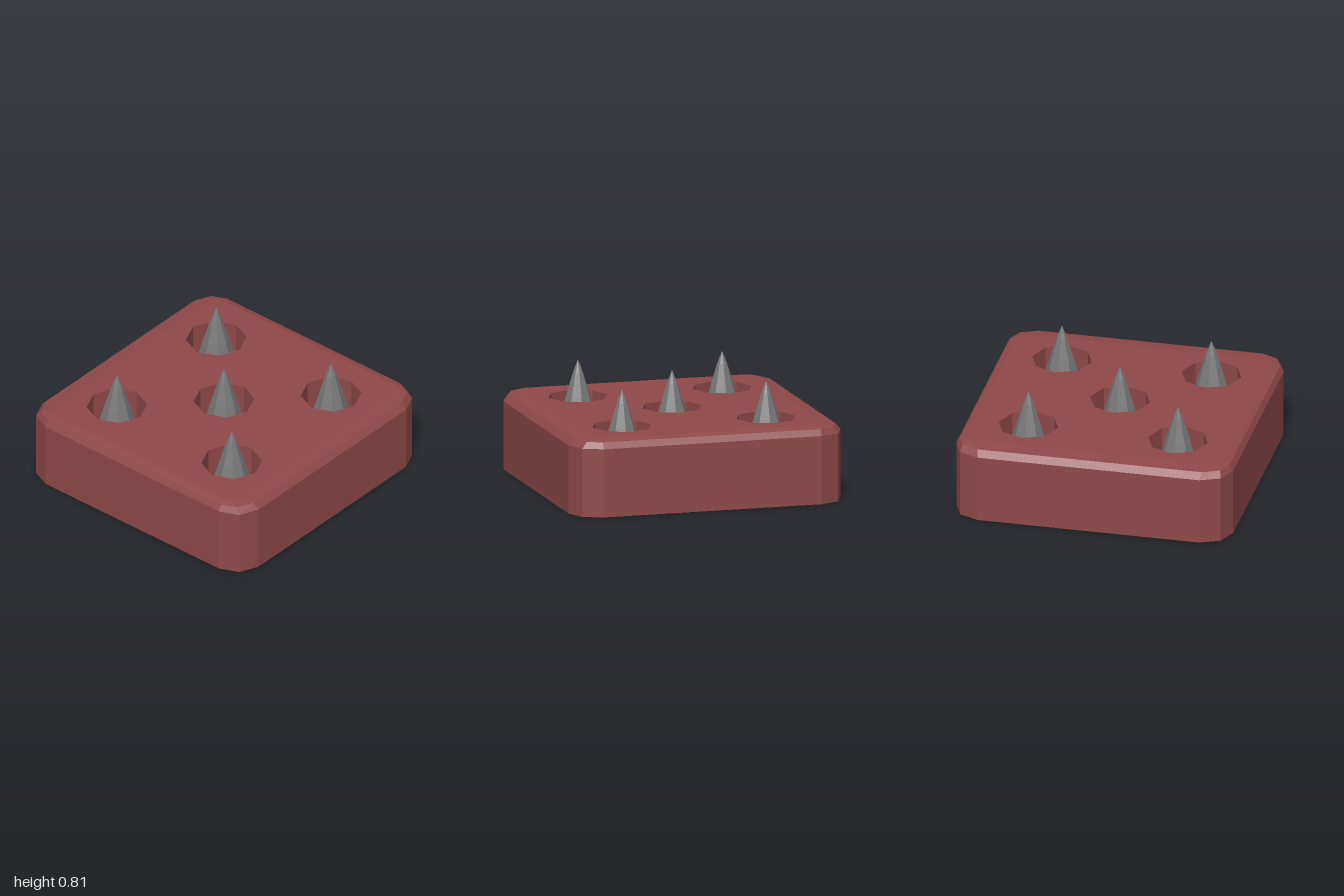
import * as THREE from 'three';

const TOP = 0.55, FLOOR = 0.14, HOLE_R = 0.215;
const SPOTS = [[-0.54, -0.53], [0.54, -0.53], [0, 0], [-0.54, 0.53], [0.54, 0.53]];

// One quarter corner (three points) mirrored into a 12-point outline, as [x, z]
function outline(corner) {
  const back = [...corner].reverse();
  return [
    ...corner,
    ...back.map(([x, z]) => [-x, z]),
    ...corner.map(([x, z]) => [-x, -z]),
    ...back.map(([x, z]) => [x, -z]),
  ];
}

// Side walls lofted through stacked outlines
function loft(rings) {
  const pos = [];
  for (let r = 0; r < rings.length - 1; r++) {
    const a = rings[r], b = rings[r + 1], n = a.pts.length;
    for (let i = 0; i < n; i++) {
      const j = (i + 1) % n;
      const p = [a.pts[i][0], a.y, a.pts[i][1]], q = [a.pts[j][0], a.y, a.pts[j][1]];
      const s = [b.pts[i][0], b.y, b.pts[i][1]], t = [b.pts[j][0], b.y, b.pts[j][1]];
      pos.push(...p, ...s, ...q, ...q, ...s, ...t);
    }
  }
  const g = new THREE.BufferGeometry();
  g.setAttribute('position', new THREE.Float32BufferAttribute(pos, 3));
  g.computeVertexNormals();
  return g;
}

// Flat shape drawn in x and -z, so that it lies face up after rotation
const flat = (pts) => new THREE.Shape(pts.map(([x, z]) => new THREE.Vector2(x, -z)));

const octagon = (cx, cz, r) => Array.from({ length: 8 }, (_, i) => {
  const a = (i * Math.PI) / 4;
  return [cx + r * Math.cos(a), cz + r * Math.sin(a)];
});

export function createModel() {
  const model = new THREE.Group();
  const red = new THREE.MeshStandardMaterial({ color: 0x8f4848, flatShading: true });
  const redInside = red.clone();
  redInside.side = THREE.BackSide;
  const steel = new THREE.MeshStandardMaterial({ color: 0x777777, flatShading: true });

  const add = (name, geometry, material, parent) => {
    const mesh = new THREE.Mesh(geometry, material);
    mesh.name = name;
    parent.add(mesh);
    return mesh;
  };

  // Block with chamfered corners and a two-step bevel at the top edge
  const block = new THREE.Group();
  block.name = 'block';
  model.add(block);
  const body = outline([[1, 0.8], [0.94, 0.94], [0.8, 1]]);
  const bevel = outline([[0.975, 0.8], [0.93, 0.905], [0.81, 0.96]]);
  const rim = outline([[0.925, 0.79], [0.905, 0.845], [0.87, 0.86]]);
  add('blockSides', loft([
    { y: 0, pts: body }, { y: 0.49, pts: body }, { y: 0.535, pts: bevel }, { y: TOP, pts: rim },
  ]), red, block);

  // Top face pierced by the holes, and the closed underside
  const topShape = flat(rim);
  topShape.holes = SPOTS.map(([x, z]) => flat(octagon(x, z, HOLE_R)));
  add('blockTop', new THREE.ShapeGeometry(topShape).rotateX(-Math.PI / 2).translate(0, TOP, 0), red, block);
  const under = flat(body.map(([x, z]) => [x, -z]));
  add('blockUnderside', new THREE.ShapeGeometry(under).rotateX(Math.PI / 2), red, block);

  // Octagonal pits, each with a spike standing on its floor
  const wall = new THREE.CylinderGeometry(HOLE_R, HOLE_R, TOP - FLOOR, 8, 1, true)
    .translate(0, (TOP + FLOOR) / 2, 0);
  const floor = new THREE.CircleGeometry(HOLE_R, 8).rotateX(-Math.PI / 2).translate(0, FLOOR, 0);
  const spike = new THREE.LatheGeometry([
    new THREE.Vector2(0.205, FLOOR), new THREE.Vector2(0.091, TOP),
    new THREE.Vector2(0.038, 0.72), new THREE.Vector2(0, 0.815),
  ], 8);
  SPOTS.forEach(([x, z], i) => {
    const pit = new THREE.Group();
    pit.name = `pit${i + 1}`;
    pit.position.set(x, 0, z);
    add('pitWall', wall, redInside, pit);
    add('pitFloor', floor, red, pit);
    add('spike', spike, steel, pit);
    model.add(pit);
  });

  return model;
}
